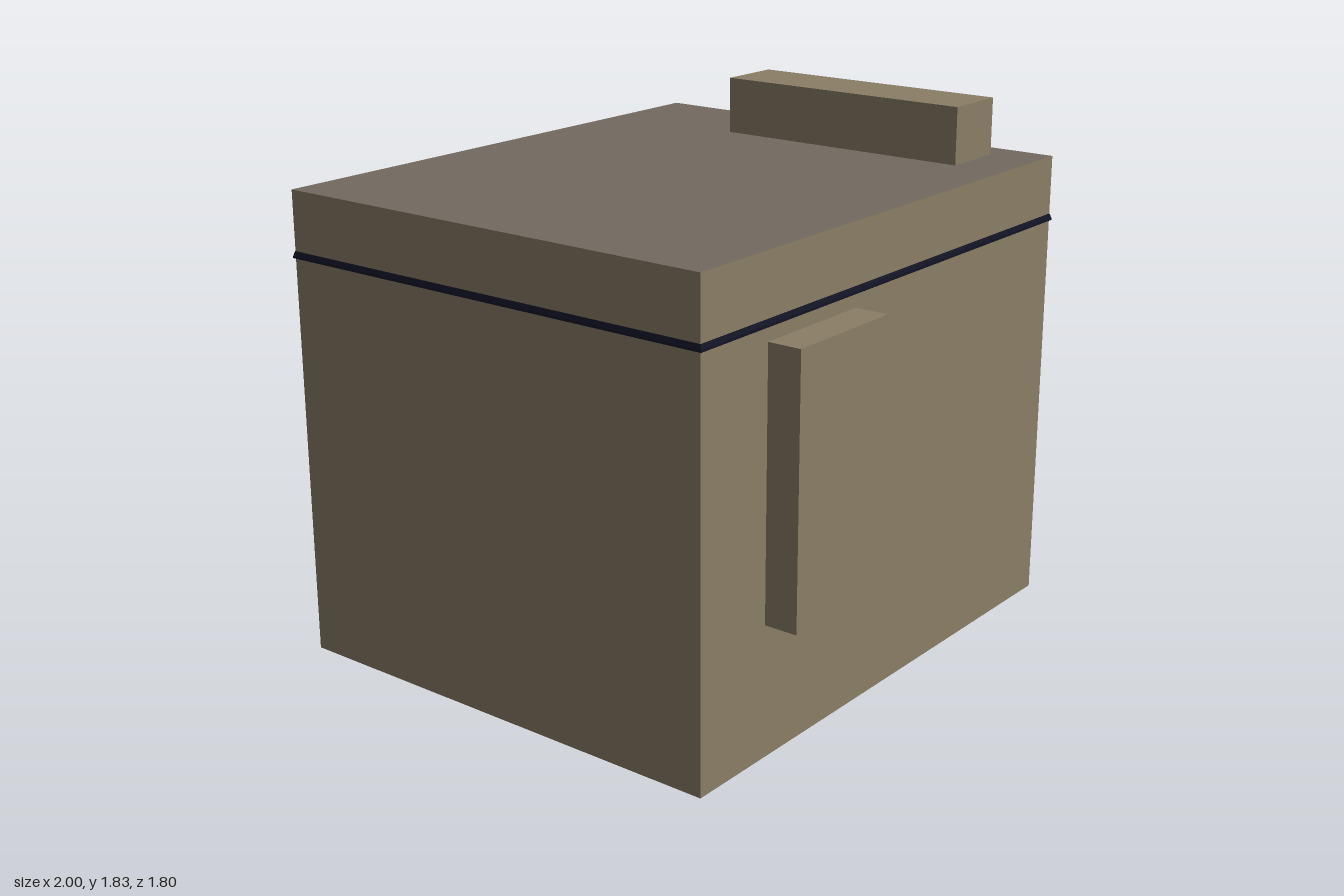
import * as THREE from 'three';

const tan = new THREE.MeshStandardMaterial({ color: 0x8b7e66, side: THREE.DoubleSide });
const roofGrey = new THREE.MeshStandardMaterial({ color: 0x736a60, side: THREE.DoubleSide });
const navy = new THREE.MeshStandardMaterial({ color: 0x0f1122, side: THREE.DoubleSide });
tan.name = 'tanWall';
roofGrey.name = 'greyRoof';
navy.name = 'navyTrim';

// Footprint of the walls
const X = 0.993, Z0 = -0.893, Z1 = 0.783, TOP = 1.625;

// Rectangular skin around the footprint; each ring is [outward offset, y]
function rectSkin(rings) {
  const pos = [];
  const corners = ([o, y]) => [
    [-X - o, y, Z1 + o], [X + o, y, Z1 + o], [X + o, y, Z0 - o], [-X - o, y, Z0 - o],
  ];
  for (let r = 0; r < rings.length - 1; r++) {
    const a = corners(rings[r]), b = corners(rings[r + 1]);
    for (let i = 0; i < 4; i++) {
      const j = (i + 1) % 4;
      pos.push(...a[i], ...a[j], ...b[j], ...a[i], ...b[j], ...b[i]);
    }
  }
  const g = new THREE.BufferGeometry();
  g.setAttribute('position', new THREE.Float32BufferAttribute(pos, 3));
  g.computeVertexNormals();
  return g;
}

// Box given by its lower and upper corners
function block(x0, y0, z0, x1, y1, z1) {
  return new THREE.BoxGeometry(x1 - x0, y1 - y0, z1 - z0)
    .translate((x0 + x1) / 2, (y0 + y1) / 2, (z0 + z1) / 2);
}

export function createModel() {
  const model = new THREE.Group();
  model.name = 'building';
  const add = (name, geometry, material) => {
    const mesh = new THREE.Mesh(geometry, material);
    mesh.name = name;
    model.add(mesh);
  };

  // Four walls, open underneath
  add('walls', rectSkin([[0, 0], [0, TOP]]), tan);

  // Flat roof
  const roof = new THREE.PlaneGeometry(2 * X, Z1 - Z0).rotateX(-Math.PI / 2);
  add('roof', roof.translate(0, TOP, (Z0 + Z1) / 2), roofGrey);

  // Thin trim around the walls, sloped on top
  add('trim', rectSkin([[0, 1.397], [0.007, 1.397], [0.006, 1.404], [0.001, 1.42], [0, 1.42]]), navy);

  // Raised blocks on the roof and the front wall
  add('roofBlock', block(0.647, TOP, -0.363, 0.883, 1.825, 0.6), tan);
  add('frontBlock', block(-0.675, 0.45, Z1, -0.22, 1.35, 0.9), tan);

  return model;
}
